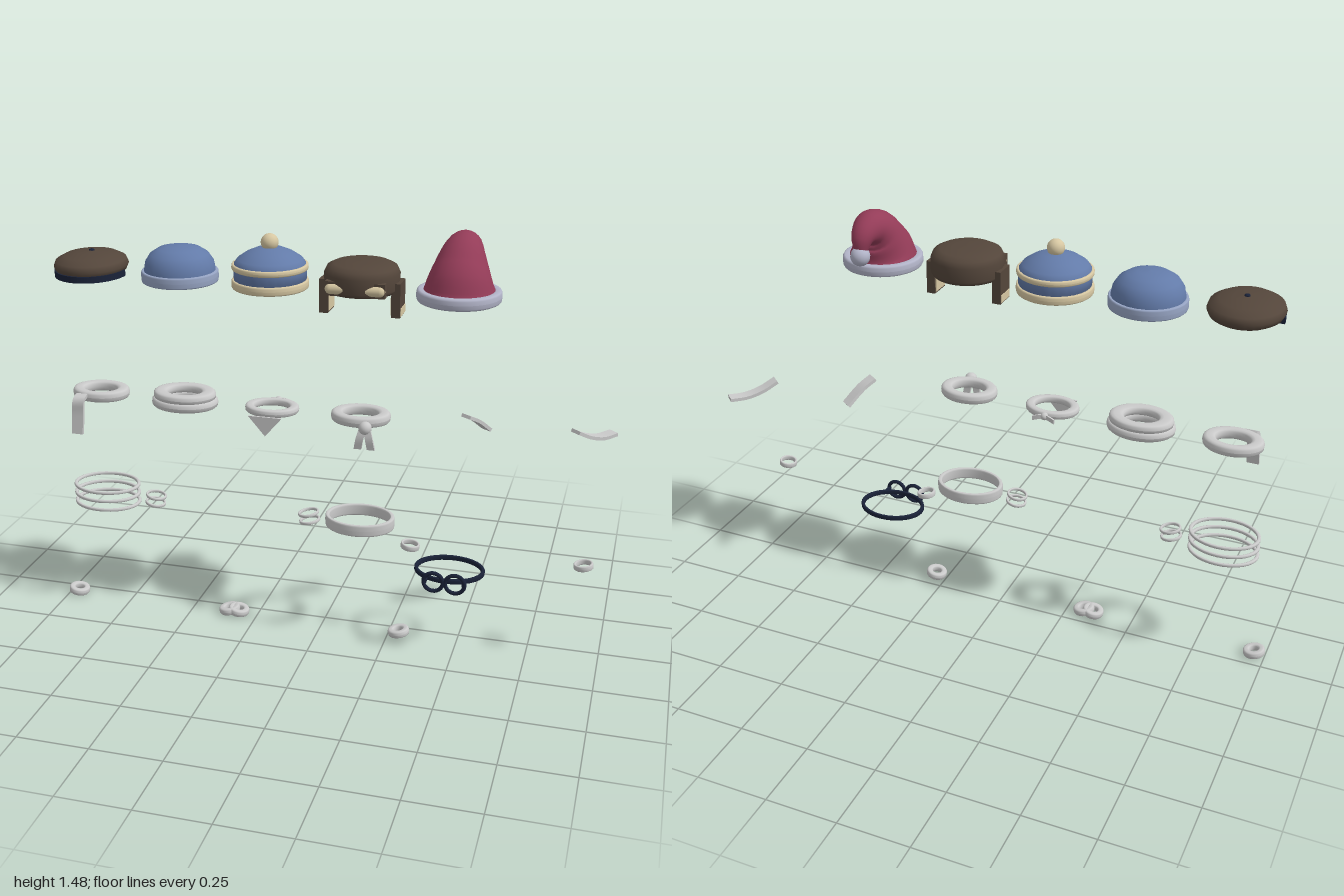
import * as THREE from 'three';

const mat = (name, color, side = THREE.FrontSide) => {
  const m = new THREE.MeshStandardMaterial({ color, side });
  m.name = name;
  return m;
};
const V = (x, y, z) => new THREE.Vector3(x, y, z);
const ZC = 0.057; // shared depth of every piece

export function createModel() {
  const brown = mat('brown', 0x54463b), navy = mat('navy', 0x1a2238);
  const blue = mat('blue', 0x637ba9), paleBlue = mat('pale blue', 0x97a5c4);
  const cream = mat('cream', 0xd6c7a2), red = mat('red', 0x943c58, THREE.DoubleSide);
  const frost = mat('frost white', 0xb2b4c8), grey = mat('light grey', 0xcacaca, THREE.DoubleSide);
  const root = new THREE.Group();

  const group = (name, x = 0, y = 0, z = 0) => {
    const g = new THREE.Group();
    g.name = name;
    g.position.set(x, y, z);
    root.add(g);
    return g;
  };
  const add = (parent, name, geo, material, x = 0, y = 0, z = 0) => {
    const m = new THREE.Mesh(geo, material);
    m.name = name;
    m.position.set(x, y, z);
    parent.add(m);
    return m;
  };
  const lathe = (pts, seg = 28) =>
    new THREE.LatheGeometry(pts.map(p => new THREE.Vector2(p[0], p[1])), seg);
  // closed ring with a rounded section; power below 1 makes it boxier
  const ring = (outer, inner, y0, y1, power = 0.7, zScale = 0.78) => {
    const pts = [], n = 14, f = v => Math.sign(v) * Math.abs(v) ** power;
    for (let i = 0; i <= n; i++) {
      const a = (i / n) * Math.PI * 2;
      pts.push([(outer + inner) / 2 + f(Math.cos(a)) * (outer - inner) / 2,
        (y0 + y1) / 2 + f(Math.sin(a)) * (y1 - y0) / 2]);
    }
    return lathe(pts, 32).scale(1, 1, zScale);
  };
  // flat strip that follows a curve
  const ribbon = (pts, width, thick, side) => {
    const curve = new THREE.CatmullRomCurve3(pts);
    const geo = new THREE.BoxGeometry(width, 1, thick, 1, 10, 1);
    const p = geo.attributes.position;
    for (let i = 0; i < p.count; i++) {
      const t = p.getY(i) + 0.5;
      const normal = side.clone().cross(curve.getTangent(t)).normalize();
      const q = curve.getPoint(t).addScaledVector(side, p.getX(i)).addScaledVector(normal, p.getZ(i));
      p.setXYZ(i, q.x, q.y, q.z);
    }
    geo.computeVertexNormals();
    return geo;
  };

  // flat cap with a peak under its front
  const cap = group('flatCap', -0.818, 0, 0.072);
  add(cap, 'capCrown', lathe([[0, 1.285], [0.1, 1.285], [0.118, 1.296], [0.126, 1.314], [0.119, 1.333],
    [0.09, 1.349], [0.045, 1.357], [0, 1.36]]).scale(1, 1, 1.12), brown);
  const peak = new THREE.Shape();
  peak.absellipse(0, 0, 0.124, 0.141, Math.PI, Math.PI * 2);
  peak.closePath();
  add(cap, 'capPeak', new THREE.ExtrudeGeometry(peak, { depth: 0.022, bevelEnabled: false, curveSegments: 24 })
    .rotateX(-Math.PI / 2), navy, 0, 1.28, 0);
  add(cap, 'capButton', new THREE.SphereGeometry(0.01, 12, 8).scale(1, 0.6, 1), navy, 0, 1.36, -0.008);

  // round beanie
  const beanie = group('beanie', -0.4985, 0, ZC);
  add(beanie, 'beanieDome', lathe([[0, 1.278], [0.122, 1.278], [0.123, 1.31], [0.117, 1.342], [0.1, 1.368],
    [0.072, 1.386], [0.038, 1.394], [0, 1.396]]), blue);
  add(beanie, 'beanieCuff', ring(0.132, 0.112, 1.273, 1.312, 0.4, 1), paleBlue);

  // striped bobble hat
  const bobble = group('bobbleHat', -0.176, 0, ZC);
  add(bobble, 'bobbleCrown', lathe([[0, 1.278], [0.122, 1.278], [0.124, 1.335], [0.122, 1.355], [0.11, 1.372],
    [0.08, 1.392], [0.045, 1.407], [0, 1.413]]), blue);
  add(bobble, 'bobbleCuff', ring(0.131, 0.115, 1.273, 1.303, 0.6, 1), cream);
  add(bobble, 'bobbleStripe', ring(0.13, 0.115, 1.336, 1.356, 0.7, 1), cream);
  add(bobble, 'bobblePom', new THREE.SphereGeometry(0.03, 20, 14), cream, 0, 1.426, 0);

  // hat with ear flaps
  const flapHat = group('earFlapHat', 0.142, 0, ZC);
  add(flapHat, 'flapHatCrown', lathe([[0, 1.287], [0.118, 1.287], [0.126, 1.3], [0.126, 1.348], [0.117, 1.368],
    [0.095, 1.379], [0.05, 1.384], [0, 1.385]]), brown);
  add(flapHat, 'browBacking', new THREE.BoxGeometry(0.2, 0.048, 0.03), brown, 0, 1.312, 0.092);
  add(flapHat, 'browRoll', new THREE.CapsuleGeometry(0.018, 0.165, 6, 14).rotateZ(Math.PI / 2),
    cream, 0, 1.311, 0.102);
  for (const s of [-1, 1]) {
    add(flapHat, 'earFlap', new THREE.BoxGeometry(0.03, 0.115, 0.08), brown, s * 0.122, 1.266, 0);
    add(flapHat, 'earFlapLining', new THREE.BoxGeometry(0.004, 0.06, 0.066), cream, s * 0.106, 1.245, 0);
    add(flapHat, 'earFlapTrim', new THREE.BoxGeometry(0.004, 0.026, 0.07), cream, s * 0.1375, 1.226, 0);
  }

  // drooping winter hat with a pompom
  const droop = group('droopingHat', 0.466, 0, 0);
  const spine = new THREE.CatmullRomCurve3([V(0, 1.295, 0.057), V(0, 1.33, 0.053), V(0, 1.37, 0.036),
    V(0, 1.408, 0.01), V(0, 1.428, -0.03), V(0, 1.415, -0.08), V(0, 1.37, -0.1)]);
  const steps = 28, sides = 24;
  const cone = new THREE.TubeGeometry(spine, steps, 1, sides);
  const cp = cone.attributes.position;
  for (let i = 0; i < cp.count; i++) {
    const u = Math.floor(i / (sides + 1)) / steps, c = spine.getPointAt(u);
    const q = V(cp.getX(i), cp.getY(i), cp.getZ(i)).sub(c).multiplyScalar(0.123 - 0.101 * u).add(c);
    cp.setXYZ(i, q.x, q.y, q.z);
  }
  cone.computeVertexNormals();
  add(droop, 'droopCone', cone, red);
  add(droop, 'droopBand', ring(0.14, 0.11, 1.272, 1.313, 0.6, 1), frost, 0, 0, ZC);
  add(droop, 'droopPom', new THREE.SphereGeometry(0.034, 20, 14), frost, 0, 1.355, -0.104);

  // scarf with one hanging end
  const X = V(1, 0, 0);
  const scarf = group('longScarf', -0.818, 0, ZC);
  add(scarf, 'scarfLoop', ring(0.104, 0.058, 0.822, 0.86), grey);
  add(scarf, 'scarfEnd', ribbon([V(-0.04, 0.85, 0.075), V(-0.044, 0.835, 0.1), V(-0.047, 0.79, 0.104),
    V(-0.05, 0.714, 0.113)], 0.042, 0.012, X), grey);

  // double rolled neck warmer
  const warmer = group('neckWarmer', -0.4985, 0, ZC);
  add(warmer, 'lowerRoll', ring(0.12, 0.062, 0.816, 0.852), grey);
  add(warmer, 'upperRoll', ring(0.113, 0.06, 0.844, 0.877), grey);

  // neckerchief with a pointed front and a tied back
  const kerchief = group('neckerchief', -0.176, 0, ZC);
  add(kerchief, 'kerchiefLoop', ring(0.096, 0.062, 0.826, 0.853), grey);
  const point = new THREE.Shape([[-0.06, 0.835], [0, 0.765], [0.06, 0.835]].map(p => new THREE.Vector2(...p)));
  add(kerchief, 'kerchiefPoint', new THREE.ExtrudeGeometry(point, { depth: 0.007, bevelEnabled: false }),
    grey, 0, 0, 0.082);
  add(kerchief, 'kerchiefKnot', new THREE.SphereGeometry(0.014, 12, 8), grey, 0, 0.84, -0.078);
  for (const s of [-1, 1])
    add(kerchief, 'kerchiefTip', ribbon([V(0, 0.84, -0.08), V(s * 0.02, 0.838, -0.086),
      V(s * 0.04, 0.832, -0.09)], 0.016, 0.006, V(0, 1, 0)), grey);

  // knotted scarf with two short ends
  const knotted = group('knottedScarf', 0.142, 0, ZC);
  add(knotted, 'knottedLoop', ring(0.104, 0.06, 0.822, 0.86), grey);
  add(knotted, 'knot', new THREE.SphereGeometry(0.023, 16, 12), grey, 0.038, 0.835, 0.098);
  for (const s of [-1, 1])
    add(knotted, 'knottedEnd', ribbon([V(0.038 + s * 0.006, 0.835, 0.1), V(0.038 + s * 0.016, 0.8, 0.108),
      V(0.038 + s * 0.023, 0.762, 0.105)], 0.026, 0.01, X), grey);

  // loose trailing scarf pieces
  const trail = group('trailingScarf');
  add(trail, 'upperTrail', ribbon([V(0.495, 0.85, -0.005), V(0.522, 0.825, -0.045), V(0.555, 0.775, -0.103)],
    0.042, 0.012, V(0.82, 0, 0.57)), grey);
  add(trail, 'lowerTrail', ribbon([V(0.86, 0.803, -0.08), V(0.9, 0.775, -0.122), V(0.94, 0.761, -0.162),
    V(0.982, 0.763, -0.208)], 0.042, 0.012, V(0.74, 0, 0.67)), grey);

  // striped torso hoops and a wide belt
  const hoops = group('torsoHoops', -0.818, 0, ZC);
  for (const y of [0.48, 0.447, 0.413])
    add(hoops, 'hoop', ring(0.125, 0.112, y - 0.006, y + 0.006), grey);
  add(group('waistBand', 0.142, 0, ZC), 'band', ring(0.124, 0.108, 0.425, 0.468, 0.45), grey);

  // tilted arm and wrist rings: [name, x, y, tilt, outer, inner, height]
  const cuffs = [
    ['armHoop', -0.626, 0.453, -0.17, 0.038, 0.03, 0.011], ['armHoop', -0.63, 0.425, -0.17, 0.038, 0.03, 0.011],
    ['armHoop', -0.046, 0.453, 0.17, 0.038, 0.03, 0.011], ['armHoop', -0.042, 0.425, 0.17, 0.038, 0.03, 0.011],
    ['armBand', 0.325, 0.371, -0.14, 0.034, 0.025, 0.02], ['armBand', 0.928, 0.371, 0.14, 0.034, 0.025, 0.02],
    ['wristCuff', -0.962, 0.022, -0.17, 0.039, 0.016, 0.026], ['wristCuff', -0.354, 0.022, 0.17, 0.039, 0.016, 0.026],
    ['wristCuff', -0.318, 0.022, -0.17, 0.039, 0.016, 0.026], ['wristCuff', 0.29, 0.022, 0.17, 0.039, 0.016, 0.026],
  ];
  for (const [name, x, y, tilt, outer, inner, h] of cuffs)
    add(root, name, ring(outer, inner, -h / 2, h / 2, 0.65, 1), grey, x, y, ZC).rotation.z = tilt;

  // goggles on a head strap
  const goggles = group('goggles', 0.466, 0.29, 0);
  add(goggles, 'strap', ring(0.125, 0.112, -0.009, 0.009, 0.5), navy, 0, 0, 0.047);
  for (const s of [-1, 1]) {
    add(goggles, 'eyeRim', new THREE.TorusGeometry(0.034, 0.007, 10, 28), navy, s * 0.038, 0, 0.156);
    add(goggles, 'rimLink', new THREE.BoxGeometry(0.012, 0.012, 0.03), navy, s * 0.068, 0, 0.142);
  }
  return root;
}
